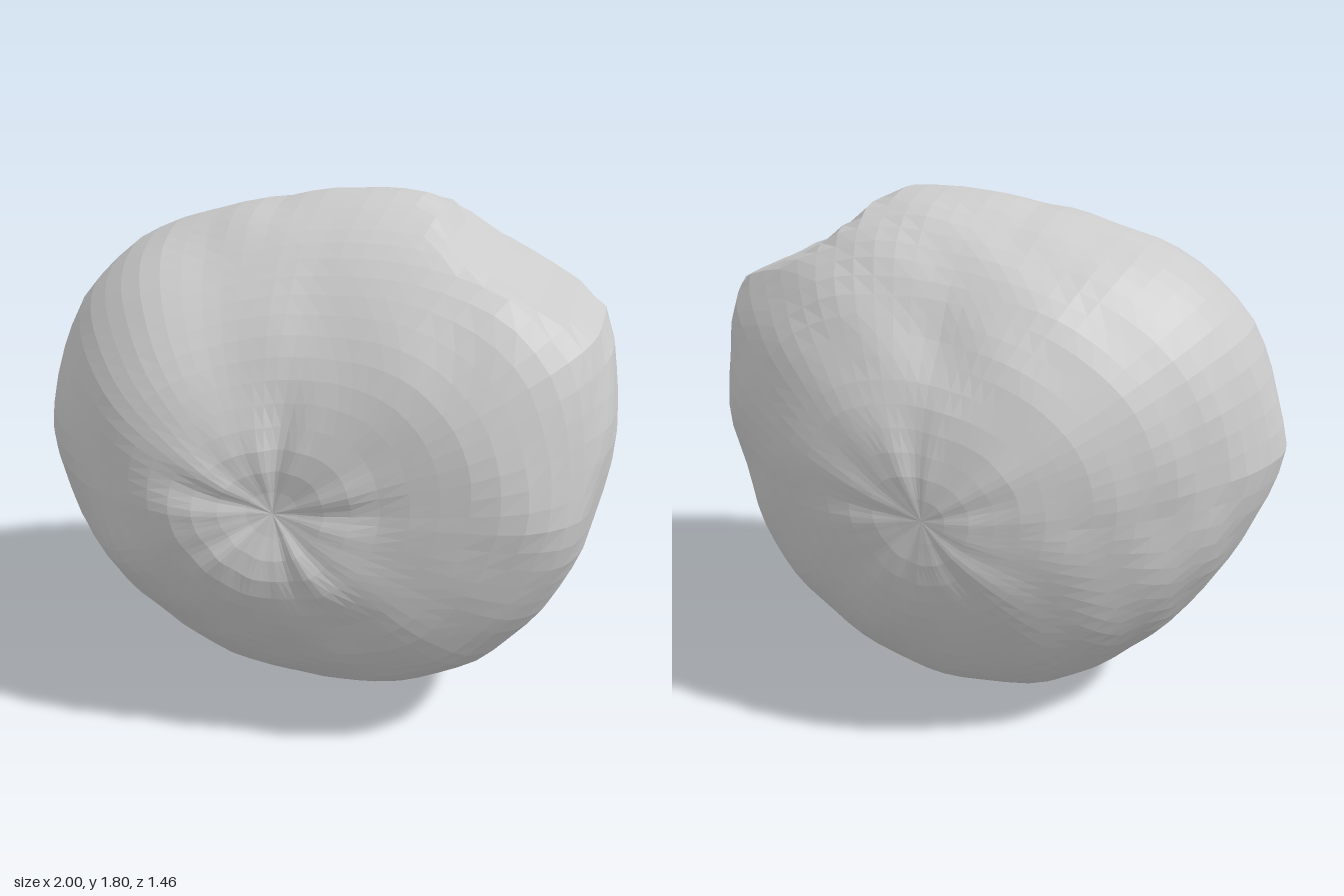
import * as THREE from 'three';

const CY = 0.92; // height of the dimpled poles
const TAU = Math.PI * 2;
const wrap = (a) => ((a % TAU) + TAU) % TAU;

// Outline points (x, y) to sorted angle and radius about the pole axis
const toPolar = (points) => points
  .map(([x, y]) => [wrap(Math.atan2(y - CY, x)), Math.hypot(x, y - CY)])
  .sort((a, b) => a[0] - b[0]);

// Widest section, counter-clockwise from the right, without the notch
const BODY = toPolar([
  [1, 1.05], [0.985, 1.25], [0.945, 1.46], [0.78, 1.64], [0.57, 1.745], [0.34, 1.795],
  [0.1, 1.8], [-0.15, 1.765], [-0.4, 1.71], [-0.68, 1.6], [-0.86, 1.42], [-0.94, 1.22], [-1, 1.0],
  [-0.92, 0.75], [-0.8, 0.52], [-0.55, 0.23], [-0.3, 0.06], [-0.15, 0.01], [0, 0.005],
  [0.2, 0.04], [0.45, 0.15], [0.7, 0.34], [0.87, 0.58], [0.96, 0.85],
]);

// Shelf cut into the upper right; far away elsewhere so it cuts nothing
const NOTCH = toPolar([
  [0.94, 1.45], [0.75, 1.53], [0.6, 1.6], [0.47, 1.68], [0.4, 1.76], [0.34, 1.795],
  [0.31, 2.2], [-2, 1], [0, -2], [1.5, 1.4],
]);

// Radius at an angle, linear between the points
function radiusAt(polar, angle) {
  const a = wrap(angle);
  const n = polar.length;
  const i = Math.max(0, polar.findIndex((p) => p[0] > a));
  const p = polar[(i + n - 1) % n], q = polar[i];
  return p[1] + (q[1] - p[1]) * (wrap(a - p[0]) / wrap(q[0] - p[0]));
}

// Body radius, smoothed out towards the poles so that no ridges run inwards
function bodyRadius(phi, spread) {
  let mean = 0;
  for (let i = -3; i <= 3; i++) mean += radiusAt(BODY, phi + i * 0.13) / 7;
  return THREE.MathUtils.lerp(mean, radiusAt(BODY, phi), spread ** 6);
}

// Gentle lumpiness over the surface
const lumps = (x, y, z) =>
  Math.sin(7 * x + 3 * y + 1) * Math.sin(6 * y - 4 * z + 2) * Math.sin(7 * z + 2 * x) +
  0.5 * Math.sin(17 * x - 9 * z) * Math.sin(15 * y + 11 * z + 1);

const mound = (x, y, cx, cy, size) => Math.exp(-((x - cx) ** 2 + (y - cy) ** 2) / size ** 2);

function shapePoint(v) {
  const s = Math.hypot(v.x, v.y), c = v.z;
  const phi = s > 1e-5 ? Math.atan2(v.y, v.x) : 0;
  const right = Math.max(0, Math.cos(phi));
  const up = Math.max(0, Math.sin(phi)), down = Math.max(0, -Math.sin(phi));
  const front = c > 0;

  // Squarer front on the right, tapering below; slightly pointed back
  const n = front
    ? 2 + 1.4 * right ** 1.5 - 0.3 * down - 0.1 * up - 0.5 * up * right
    : 1.75 + 0.35 * right + 0.2 * down;
  const k = 1 / Math.pow(s ** n + Math.abs(c) ** n, 1 / n);
  const spread = s * k;
  const blend = Math.min(1, spread / 0.35);
  const depth = front ? 0.69 - 0.07 * blend * Math.cos(phi - 0.35) : 0.755;

  const r = Math.min(bodyRadius(phi, spread) * spread, radiusAt(NOTCH, phi));
  const x = r * Math.cos(phi), y = r * Math.sin(phi);
  // The widest section leans forward on the right and back at the top
  let z = c * k * depth + spread ** 2 * (0.06 * right - 0.06 * up);

  // Radial creases and dimples at the poles, lobes and hollows elsewhere
  const creases = Math.sin(phi * 9 + 1) + 0.6 * Math.sin(phi * 14);
  const ring = Math.exp(-(((spread - 0.24) / 0.15) ** 2));
  const fade = Math.min(1, Math.abs(c) * 3);
  if (front) {
    z -= 0.07 * mound(x, y, 0, 0, 0.15) + 0.005 * creases * ring;
    z -= 0.02 * mound(x, y, 0.25, -0.36, 0.13);
    z += fade * (0.06 * mound(x, y, -0.57, -0.27, 0.24) + 0.06 * mound(x, y, -0.52, 0.42, 0.25));
  } else {
    z += 0.015 * mound(x, y, 0, 0, 0.1) + 0.003 * creases * ring;
    z += 0.035 * mound(x, y, 0.02, 0.55, 0.14);
  }
  const bump = 1 + 0.011 * lumps(x, y, z) * fade;
  return v.set(x * bump, y * bump + CY, z * bump);
}

export function createModel() {
  const group = new THREE.Group();
  group.name = 'asteroid';

  // Latitude rings around the front-to-back axis
  const geometry = new THREE.SphereGeometry(1, 72, 38);
  geometry.rotateX(Math.PI / 2);
  const pos = geometry.attributes.position;
  const v = new THREE.Vector3();
  for (let i = 0; i < pos.count; i++) {
    shapePoint(v.fromBufferAttribute(pos, i));
    pos.setXYZ(i, v.x, v.y, v.z);
  }

  // Rest on the ground, centred
  geometry.computeBoundingBox();
  const b = geometry.boundingBox;
  geometry.translate(-(b.min.x + b.max.x) / 2, -b.min.y, -(b.min.z + b.max.z) / 2);
  geometry.computeVertexNormals();

  const rock = new THREE.Mesh(geometry, new THREE.MeshStandardMaterial({ color: 0xcccccc, flatShading: true }));
  rock.name = 'rockBody';
  group.add(rock);
  return group;
}
